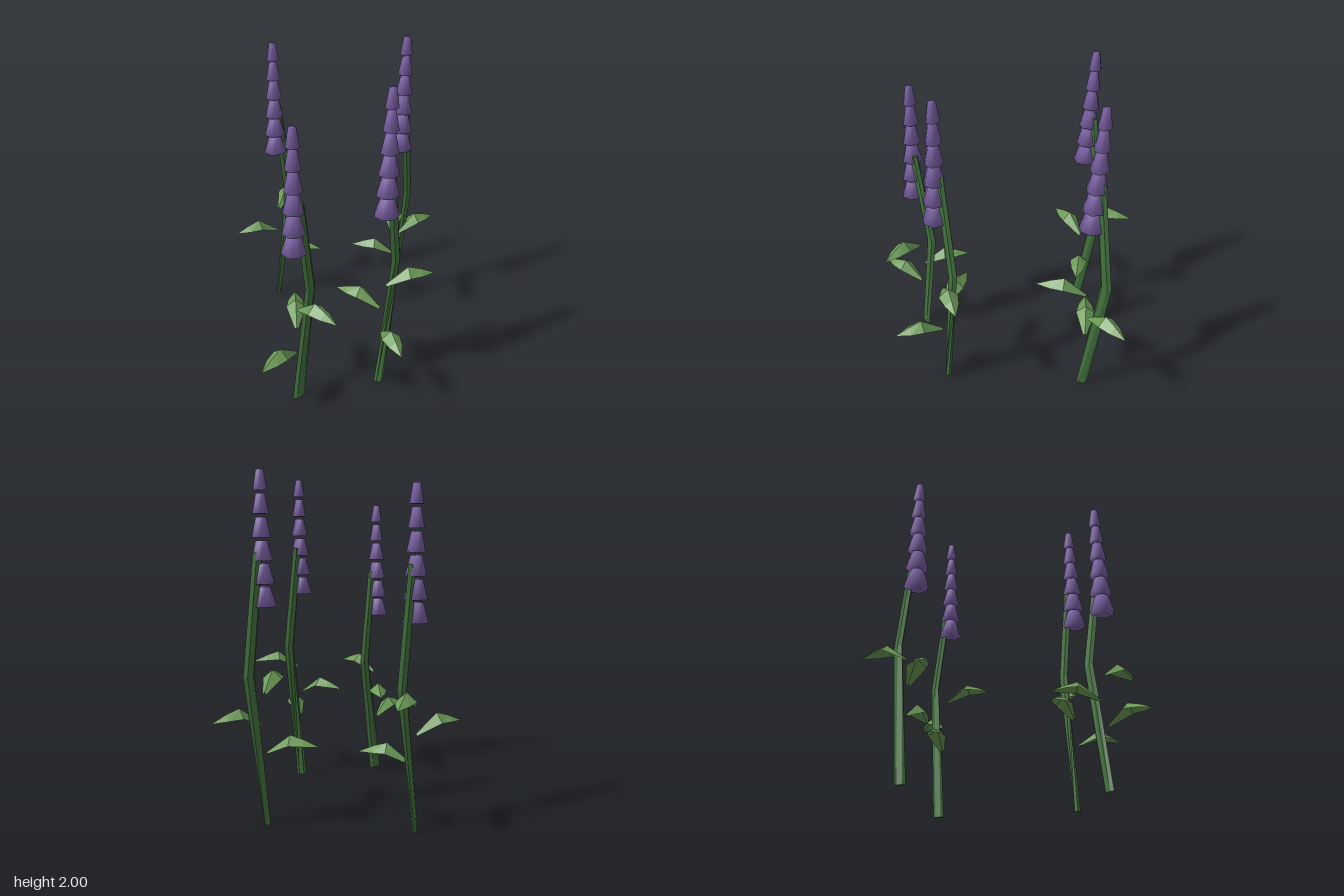
import * as THREE from 'three';
import { mergeVertices } from 'three/addons/utils/BufferGeometryUtils.js';

const stemGreen = new THREE.MeshStandardMaterial({ color: 0x457440 });
stemGreen.name = 'stem green';
const leafGreen = new THREE.MeshStandardMaterial({ color: 0x6c9a57, side: THREE.DoubleSide });
leafGreen.name = 'leaf green';
const petalPurple = new THREE.MeshStandardMaterial({ color: 0x7b60a5 });
petalPurple.name = 'petal purple';

const rad = THREE.MathUtils.degToRad;

// Unshared triangles give faceted normals
function facetGeometry(triangles) {
  const g = new THREE.BufferGeometry().setFromPoints(triangles);
  g.computeVertexNormals();
  return g;
}

// Flattened stalk: each ring is centre, major radius, minor radius and turn
function stemGeometry(rings) {
  const sides = 6, tris = [];
  const loops = rings.map(({ at, a, b, turn }) => {
    const c = Math.cos(rad(turn)), s = Math.sin(rad(turn));
    return Array.from({ length: sides }, (_, i) => {
      const t = (i / sides) * Math.PI * 2;
      const u = a * Math.cos(t), v = b * Math.sin(t);
      return new THREE.Vector3(at[0] + u * c - v * s, at[1], at[2] + u * s + v * c);
    });
  });
  const last = loops.length - 1;
  for (let i = 0; i < sides; i++) {
    const j = (i + 1) % sides;
    for (let k = 0; k < last; k++) {
      const p = loops[k], q = loops[k + 1];
      tris.push(p[i], q[i], p[j], p[j], q[i], q[j]);
    }
    const bottom = new THREE.Vector3(...rings[0].at), top = new THREE.Vector3(...rings[last].at);
    tris.push(bottom, loops[0][i], loops[0][j], top, loops[last][j], loops[last][i]);
  }
  return facetGeometry(tris);
}

// Leaf along +x, folded down from its ridge: distance, ridge height, half width, drop
function leafGeometry() {
  const rows = [
    [0.015, 0.01, 0.012, 0.01],
    [0.15, 0.115, 0.058, 0.05],
    [0.23, 0.09, 0.042, 0.03],
    [0.32, 0.05, 0, 0],
  ].map(([x, y, w, d]) => [
    new THREE.Vector3(x, y - d, -w), new THREE.Vector3(x, y, 0), new THREE.Vector3(x, y - d, w),
  ]);
  const tris = [];
  for (let k = 0; k < rows.length - 1; k++) {
    for (let s = 0; s < 2; s++) {
      const [a, b] = [rows[k][s], rows[k][s + 1]];
      const [c, d] = [rows[k + 1][s], rows[k + 1][s + 1]];
      tris.push(a, b, c);
      if (k < rows.length - 2) tris.push(b, d, c);
      else if (s === 0) tris.push(b, d, c); else tris.push(b, d, c);
    }
  }
  return facetGeometry(tris.filter(Boolean));
}

// Blossom tier with normals blended over its rims
function blossomGeometry(bottomRadius) {
  const g = new THREE.CylinderGeometry(bottomRadius * 0.56, bottomRadius, 0.11, 7);
  g.deleteAttribute('normal');
  g.deleteAttribute('uv');
  const merged = mergeVertices(g, 1e-4);
  merged.computeVertexNormals();
  return merged;
}

// Stem points, base section, first leaf angle and height, flower bottom
const plants = [
  { base: [-0.495, 0, -0.475], mid: [-0.43, 0.83, -0.575], top: [-0.465, 1.5, -0.49],
    section: [0.033, 0.014, -90], centre: [-0.48, -0.48], angle: 0, leafY: 0.39, step: 0.165, flowerY: 1.185 },
  { base: [0.345, 0, -0.595], mid: [0.403, 0.88, -0.685], top: [0.37, 1.56, -0.6],
    section: [0.035, 0.014, -90], centre: [0.357, -0.59], angle: 174, leafY: 0.42, step: 0.17, flowerY: 1.26 },
  { base: [-0.025, 0, 0.55], mid: [0.03, 0.78, 0.455], top: [0, 1.39, 0.54],
    section: [0.041, 0.016, -45], centre: [-0.027, 0.547], angle: 113, leafY: 0.365, step: 0.16, flowerY: 1.09 },
  { base: [0.43, 0, 0.275], mid: [0.485, 0.9, 0.2], top: [0.44, 1.55, 0.26],
    section: [0.031, 0.021, -12], centre: [0.432, 0.28], angle: 57, leafY: 0.41, step: 0.17, flowerY: 1.25 },
];

export function createModel() {
  const model = new THREE.Group();
  model.name = 'flowerPatch';
  const leafShape = leafGeometry();
  const tiers = 6;
  const blossoms = Array.from({ length: tiers }, (_, i) => blossomGeometry(0.075 - i * 0.0072));

  plants.forEach((p, n) => {
    const plant = new THREE.Group();
    plant.name = `plant${n + 1}`;
    const [cx, cz] = p.centre;

    // Bent stem
    const stem = new THREE.Mesh(stemGeometry([
      { at: p.base, a: p.section[0], b: p.section[1], turn: p.section[2] },
      { at: p.mid, a: 0.038, b: 0.019, turn: -57 },
      { at: p.top, a: 0.034, b: 0.018, turn: -57 },
    ]), stemGreen);
    stem.name = 'stem';
    plant.add(stem);

    // Leaves spiralling up by the golden angle
    for (let i = 0; i < 3; i++) {
      const leaf = new THREE.Mesh(leafShape, leafGreen);
      leaf.name = 'leaf';
      leaf.position.set(cx, p.leafY + i * p.step, cz);
      leaf.rotation.y = -rad(p.angle + i * 137.5);
      plant.add(leaf);
    }

    // Flower spike of shrinking tiers, leaning slightly back
    const spike = new THREE.Group();
    spike.name = 'flowerSpike';
    blossoms.forEach((shape, i) => {
      const tier = new THREE.Mesh(shape, petalPurple);
      tier.name = 'blossomTier';
      tier.position.set(cx, p.flowerY + 0.055 + i * 0.126, cz + 0.018 * (1 - i / (tiers - 1)));
      tier.rotation.y = -rad(p.angle);
      spike.add(tier);
    });
    plant.add(spike);
    model.add(plant);
  });
  return model;
}
